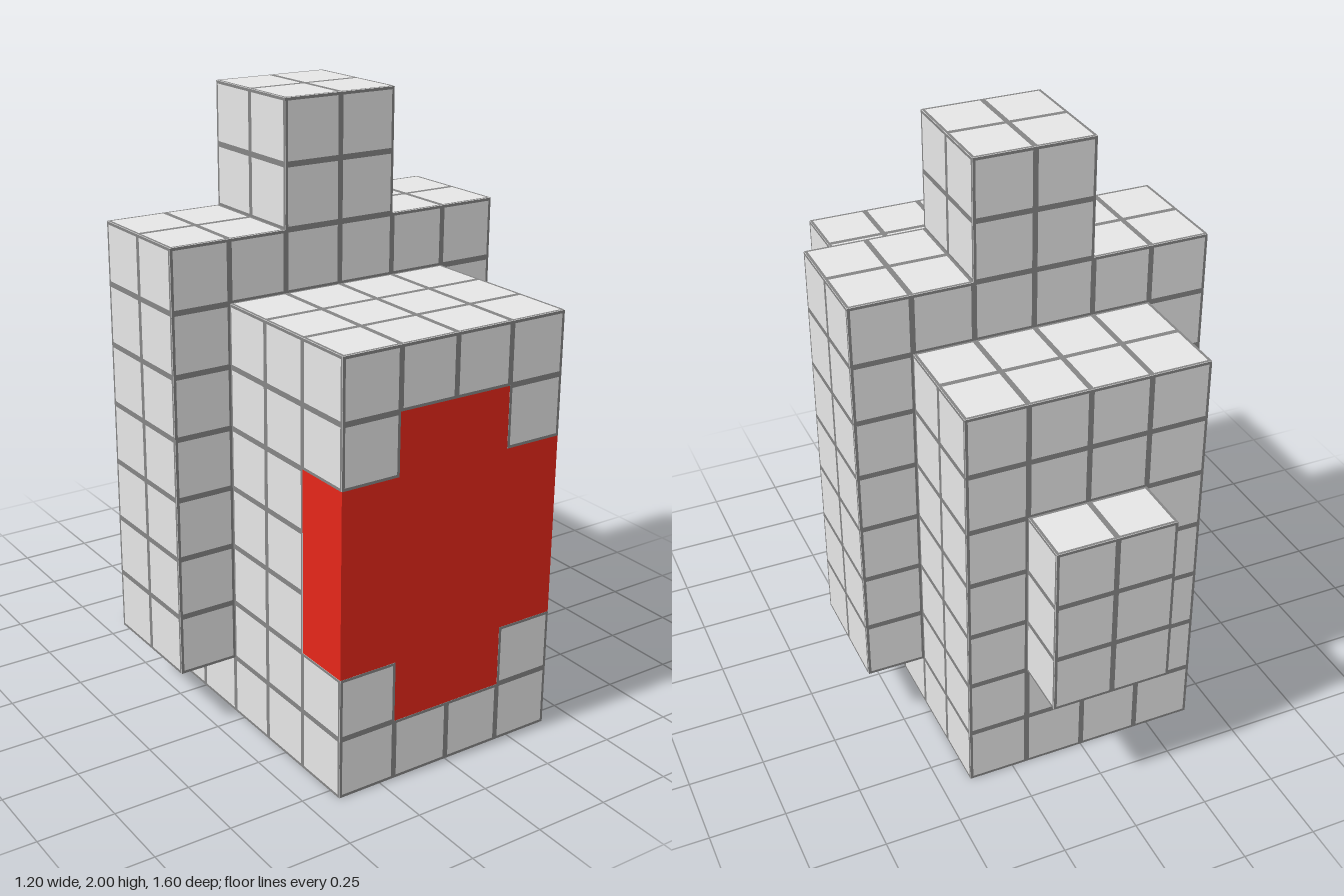
import * as THREE from 'three';
import { mergeGeometries } from 'three/addons/utils/BufferGeometryUtils.js';

const grey = new THREE.MeshStandardMaterial({ name: 'light grey', color: 0xe6e6e6 });
const seamGrey = new THREE.MeshStandardMaterial({ name: 'seam grey', color: 0x858585 });
const red = new THREE.MeshStandardMaterial({ name: 'red', color: 0xe6261a });

const CELL = 0.2; // edge of one cube
const BORDER = 0.009; // half the width of a seam

// Blocks by name, material, minimum and maximum corner, counted in cubes
const blocks = [
  ['body', grey, [-2, 0, -3], [2, 7, 3]],
  ['shoulders', grey, [-3, 7, -1], [3, 8, 1]],
  ['topPost', grey, [-1, 8, -1], [1, 10, 1]],
  ['rearPack', grey, [-1, 2, -4], [1, 5, -3]],
  ['leftWing', grey, [2, 1, -1], [3, 7, 1]],
  ['rightWing', grey, [-3, 1, -1], [-2, 7, 1]],
  ['frontBase', grey, [-2, 0, 3], [2, 1, 4]],
  ['frontTop', grey, [-2, 6, 3], [2, 7, 4]],
  ['redLower', red, [-1, 1, 3], [1, 2, 4]],
  ['redMiddle', red, [-2, 2, 3], [2, 5, 4]],
  ['redUpper', red, [-1, 5, 3], [1, 6, 4]],
];
// Grey corners around the red area
for (const y of [1, 5]) {
  blocks.push(['leftCorner', grey, [1, y, 3], [2, y + 1, 4]]);
  blocks.push(['rightCorner', grey, [-2, y, 3], [-1, y + 1, 4]]);
}

const directions = [[1, 0, 0], [-1, 0, 0], [0, 1, 0], [0, -1, 0], [0, 0, 1], [0, 0, -1]];

const isSolid = (cell) =>
  blocks.some(([, , min, max]) => cell.every((c, i) => c >= min[i] && c < max[i]));

function blockMesh([name, material, min, max]) {
  const size = max.map((m, i) => (m - min[i]) * CELL);
  const mesh = new THREE.Mesh(new THREE.BoxGeometry(...size), material);
  mesh.position.set(...max.map((m, i) => ((m + min[i]) / 2) * CELL));
  mesh.name = name;
  return mesh;
}

// Flat square frame along the border of one cube face
function squarePath(path, half) {
  return path.moveTo(-half, -half).lineTo(half, -half).lineTo(half, half).lineTo(-half, half).closePath();
}
const frameShape = squarePath(new THREE.Shape(), CELL / 2);
frameShape.holes.push(squarePath(new THREE.Path(), CELL / 2 - BORDER));
const frame = new THREE.ShapeGeometry(frameShape);

// Frames on every open cube face of a block
function seamFrames([, , min, max]) {
  const frames = [];
  for (let x = min[0]; x < max[0]; x++)
    for (let y = min[1]; y < max[1]; y++)
      for (let z = min[2]; z < max[2]; z++)
        for (const d of directions) {
          if (isSolid([x + d[0], y + d[1], z + d[2]])) continue;
          const normal = new THREE.Vector3(...d);
          const turn = new THREE.Quaternion().setFromUnitVectors(new THREE.Vector3(0, 0, 1), normal);
          const centre = new THREE.Vector3(x + 0.5, y + 0.5, z + 0.5).multiplyScalar(CELL);
          centre.addScaledVector(normal, CELL / 2 + 0.001);
          frames.push(frame.clone().applyQuaternion(turn).translate(...centre));
        }
  return frames;
}

export function createModel() {
  const model = new THREE.Group();
  model.name = 'blockModel';
  for (const block of blocks) model.add(blockMesh(block));

  // Seams between the grey cubes
  const greyBlocks = blocks.filter(([, material]) => material === grey);
  const seams = new THREE.Mesh(mergeGeometries(greyBlocks.flatMap(seamFrames)), seamGrey);
  seams.name = 'seams';
  model.add(seams);
  return model;
}
